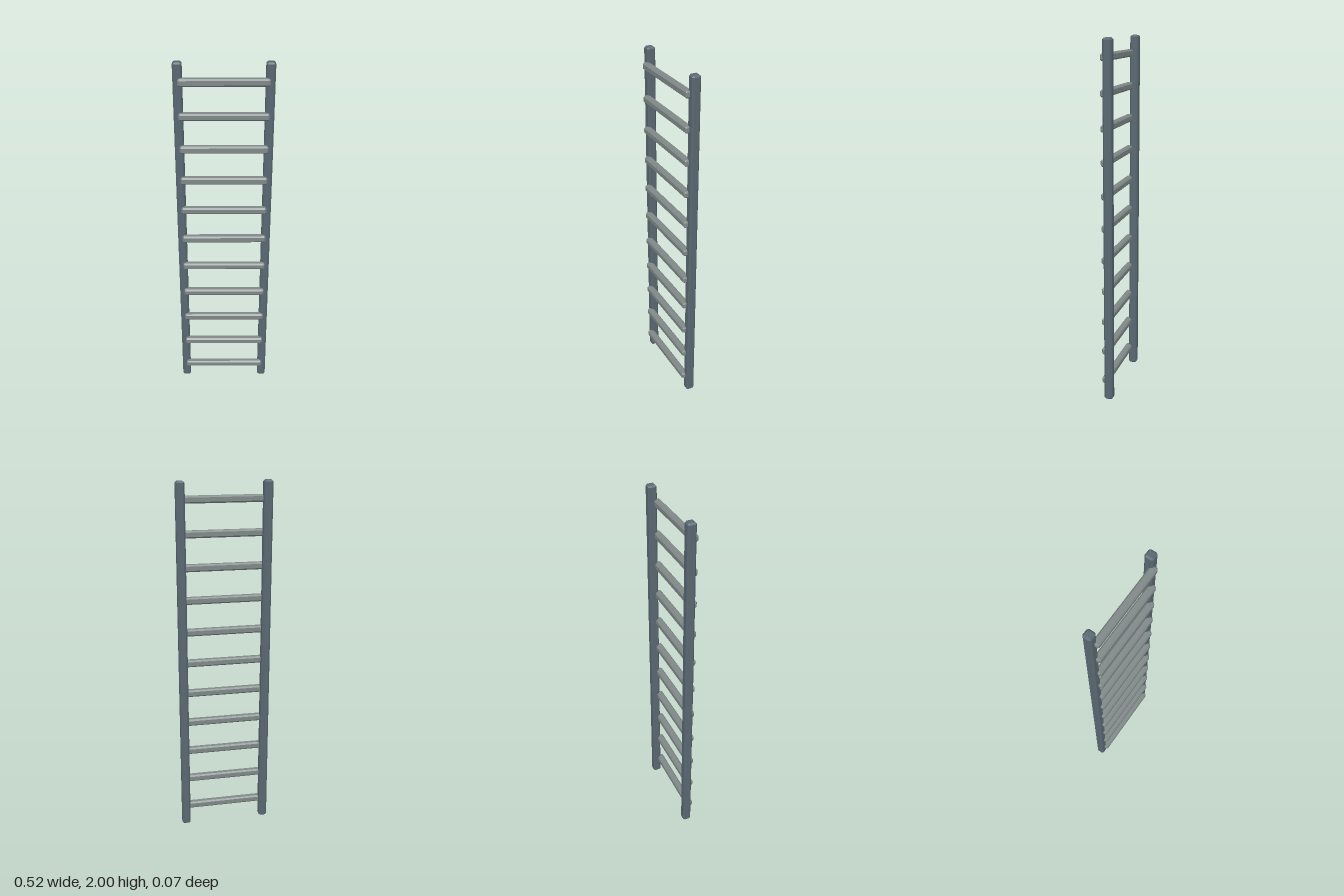
import * as THREE from 'three';
import { ConvexGeometry } from 'three/addons/geometries/ConvexGeometry.js';

// Box with every edge chamfered by c
function chamferedBox(w, h, d, c) {
  const half = [w / 2, h / 2, d / 2];
  const points = [];
  for (let axis = 0; axis < 3; axis++) {
    for (const sx of [-1, 1]) for (const sy of [-1, 1]) for (const sz of [-1, 1]) {
      const p = half.map((v, i) => (i === axis ? v : v - c));
      points.push(new THREE.Vector3(sx * p[0], sy * p[1], sz * p[2]));
    }
  }
  return new ConvexGeometry(points);
}

export function createModel() {
  const ladder = new THREE.Group();
  ladder.name = 'ladder';
  const railMaterial = new THREE.MeshStandardMaterial({ color: 0x5a6872, flatShading: true });
  const rungMaterial = new THREE.MeshStandardMaterial({ color: 0x7f8988, flatShading: true });

  // Two upright rails
  const railGeometry = chamferedBox(0.048, 2, 0.048, 0.009);
  for (const side of [-1, 1]) {
    const rail = new THREE.Mesh(railGeometry, railMaterial);
    rail.name = side > 0 ? 'leftRail' : 'rightRail';
    rail.position.set(side * 0.234, 1, -0.011);
    ladder.add(rail);
  }

  // Eleven rungs set into the front of the rails
  const rungGeometry = chamferedBox(0.466, 0.039, 0.039, 0.008);
  for (let i = 0; i < 11; i++) {
    const rung = new THREE.Mesh(rungGeometry, rungMaterial);
    rung.name = `rung${i + 1}`;
    rung.position.set(0, 0.103 + i * 0.18, 0.0145);
    ladder.add(rung);
  }
  return ladder;
}
